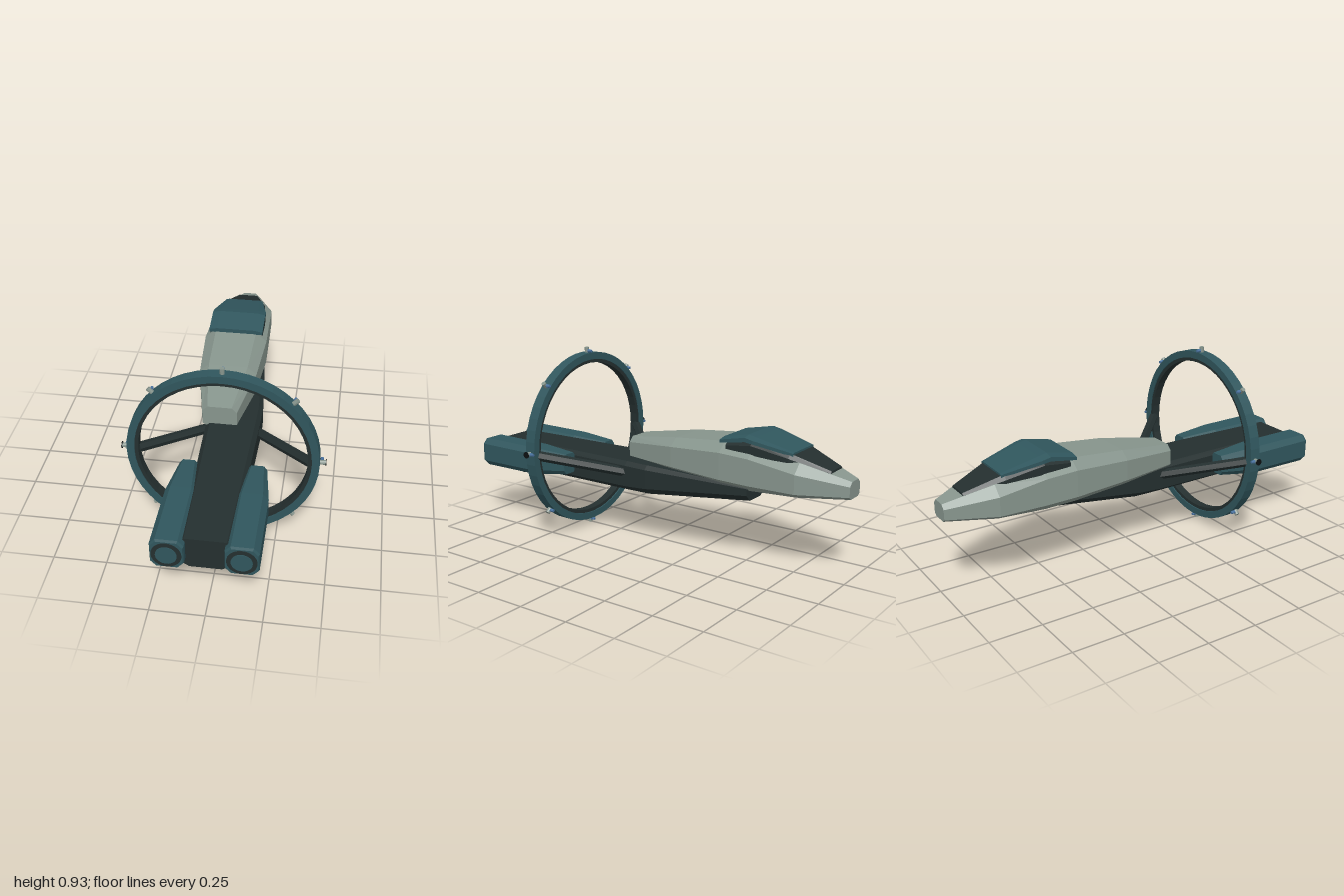
import * as THREE from 'three';

const mat = (name, color, extra = {}) => {
  const m = new THREE.MeshStandardMaterial({ color, flatShading: true, ...extra });
  m.name = name;
  return m;
};

// Eight-sided section, counter-clockwise seen from +z.
// cx = centre, w = half width, yb/yt = bottom/top, t/b = [inset, drop] of top and bottom corners
function section(z, cx, w, yb, yt, t, b) {
  return [
    [cx - w + b[0], yb], [cx + w - b[0], yb], [cx + w, yb + b[1]], [cx + w, yt - t[1]],
    [cx + w - t[0], yt], [cx - w + t[0], yt], [cx - w, yt - t[1]], [cx - w, yb + b[1]],
  ].map(([x, y]) => new THREE.Vector3(x, y, z));
}

// Skin a list of sections, ordered by rising z, and cap both ends.
function loft(sections) {
  const tris = [];
  const n = sections[0].length;
  for (let s = 0; s < sections.length - 1; s++) {
    for (let i = 0; i < n; i++) {
      const j = (i + 1) % n;
      const a = sections[s][i], b = sections[s][j], c = sections[s + 1][j], d = sections[s + 1][i];
      tris.push(a, b, c, a, c, d);
    }
  }
  const first = sections[0], last = sections[sections.length - 1];
  for (let i = 1; i < n - 1; i++) {
    tris.push(first[0], first[i + 1], first[i], last[0], last[i], last[i + 1]);
  }
  const g = new THREE.BufferGeometry().setFromPoints(tris);
  g.computeVertexNormals();
  return g;
}

// Square-section hoop around the z axis
function hoop(rIn, rOut, depth) {
  const h = depth / 2;
  const pts = [[rIn, -h], [rOut, -h], [rOut, h], [rIn, h], [rIn, -h]].map((p) => new THREE.Vector2(...p));
  return new THREE.LatheGeometry(pts, 48).rotateX(Math.PI / 2);
}

export function createModel() {
  const teal = mat('teal panel', 0x30565d);
  const pale = mat('pale grey hull', 0x87958d);
  const dark = mat('dark frame', 0x242f2f);
  const black = mat('black marker', 0x0c1011);
  const blue = mat('blue lamp', 0x4a73a0);

  const model = new THREE.Group();
  model.name = 'spaceship';
  const add = (name, geo, material, parent = model) => {
    const m = new THREE.Mesh(geo, material);
    m.name = name;
    parent.add(m);
    return m;
  };

  // Crew hull, set off to the right of the keel
  const hx = -0.06;
  add('crewHull', loft([
    section(-1.0, hx, 0.052, 0.39, 0.47, [0.02, 0.02], [0.015, 0.012]),
    section(-0.78, hx, 0.147, 0.38, 0.535, [0.045, 0.045], [0.03, 0.02]),
    section(-0.55, hx, 0.155, 0.37, 0.57, [0.055, 0.045], [0.03, 0.03]),
    section(-0.4, hx, 0.16, 0.375, 0.578, [0.055, 0.045], [0.03, 0.03]),
    section(-0.12, hx, 0.142, 0.39, 0.552, [0.045, 0.038], [0.025, 0.025]),
    section(0.17, hx, 0.083, 0.4, 0.508, [0.025, 0.026], [0.015, 0.012]),
  ]), pale);

  // Dark cockpit glazing under the roof
  add('cockpitGlass', loft([
    section(-0.91, hx, 0.058, 0.47, 0.507, [0.008, 0.01], [0, 0]),
    section(-0.73, hx, 0.115, 0.5, 0.568, [0.02, 0.02], [0, 0]),
    section(-0.55, hx, 0.136, 0.545, 0.598, [0.02, 0.015], [0, 0]),
    section(-0.42, hx, 0.136, 0.55, 0.582, [0.02, 0.015], [0, 0]),
  ]), dark);

  // Bent roof plate
  add('cockpitRoof', loft([
    section(-0.745, hx, 0.098, 0.555, 0.572, [0.015, 0.003], [0, 0]),
    section(-0.56, hx, 0.138, 0.592, 0.617, [0.04, 0.008], [0, 0]),
    section(-0.52, hx, 0.138, 0.597, 0.625, [0.04, 0.008], [0, 0]),
    section(-0.39, hx, 0.138, 0.575, 0.598, [0.04, 0.008], [0, 0]),
  ]), teal);

  // Long keel carrying hull, ring and engines
  add('keel', loft([
    section(-0.54, 0, 0.08, 0.318, 0.39, [0.01, 0.01], [0.03, 0.03]),
    section(0.0, 0, 0.13, 0.26, 0.41, [0.02, 0.02], [0.045, 0.035]),
    section(0.12, 0, 0.13, 0.258, 0.412, [0.02, 0.02], [0.045, 0.03]),
    section(0.955, 0, 0.11, 0.253, 0.41, [0.02, 0.02], [0.04, 0.025]),
  ]), dark);

  // Ring with a dark inner band
  const ring = new THREE.Group();
  ring.name = 'ring';
  ring.position.set(0, 0.466, 0.455);
  model.add(ring);
  add('ringRim', hoop(0.402, 0.437, 0.054), teal, ring);
  add('ringInnerBand', hoop(0.385, 0.404, 0.042), dark, ring);

  // Eight thruster nodes around the ring
  for (let i = 0; i < 8; i++) {
    const node = new THREE.Group();
    node.name = 'ringNode';
    node.rotation.z = (i * Math.PI) / 4;
    ring.add(node);
    add('nodePost', new THREE.CylinderGeometry(0.011, 0.011, 0.034, 10)
      .rotateZ(-Math.PI / 2).translate(0.446, 0, 0), pale, node);
    add('nodeLamp', new THREE.CylinderGeometry(0.007, 0.009, 0.02, 8)
      .rotateX(-Math.PI / 2).translate(0.445, 0, -0.02), blue, node);
    if (i % 4 === 0) {
      add('nodeDisc', new THREE.CylinderGeometry(0.016, 0.016, 0.003, 16)
        .rotateZ(-Math.PI / 2).translate(0.4635, 0, 0), black, node);
    }
  }

  for (const side of [-1, 1]) {
    // Strut from keel to ring
    const from = new THREE.Vector3(side * 0.1, 0.352, 0.12);
    const to = new THREE.Vector3(side * 0.395, 0.45, 0.445);
    const strut = add('strut', new THREE.CylinderGeometry(0.024, 0.024, from.distanceTo(to), 6), dark);
    strut.position.copy(from).lerp(to, 0.5);
    strut.quaternion.setFromUnitVectors(new THREE.Vector3(0, 1, 0), to.clone().sub(from).normalize());

    // Engine pod
    const px = side * 0.158;
    const pod = new THREE.Group();
    pod.name = side > 0 ? 'leftEngine' : 'rightEngine';
    model.add(pod);
    add('enginePod', loft([
      section(0.45, px, 0.043, 0.305, 0.408, [0.015, 0.02], [0.015, 0.02]),
      section(0.65, px, 0.072, 0.277, 0.418, [0.025, 0.027], [0.025, 0.027]),
      section(0.982, px, 0.073, 0.275, 0.42, [0.025, 0.027], [0.025, 0.027]),
      section(0.994, px, 0.069, 0.279, 0.416, [0.024, 0.026], [0.024, 0.026]),
    ]), teal, pod);
    add('nozzleRing', new THREE.CylinderGeometry(0.065, 0.065, 0.006, 32)
      .rotateX(Math.PI / 2).translate(px, 0.347, 0.994), dark, pod);
    add('nozzleCore', new THREE.CylinderGeometry(0.046, 0.046, 0.006, 32)
      .rotateX(Math.PI / 2).translate(px, 0.347, 0.997), teal, pod);
    add('podMarker', new THREE.CylinderGeometry(0.016, 0.016, 0.003, 16)
      .translate(px, 0.264, 0.76), black, pod);
  }

  return model;
}
